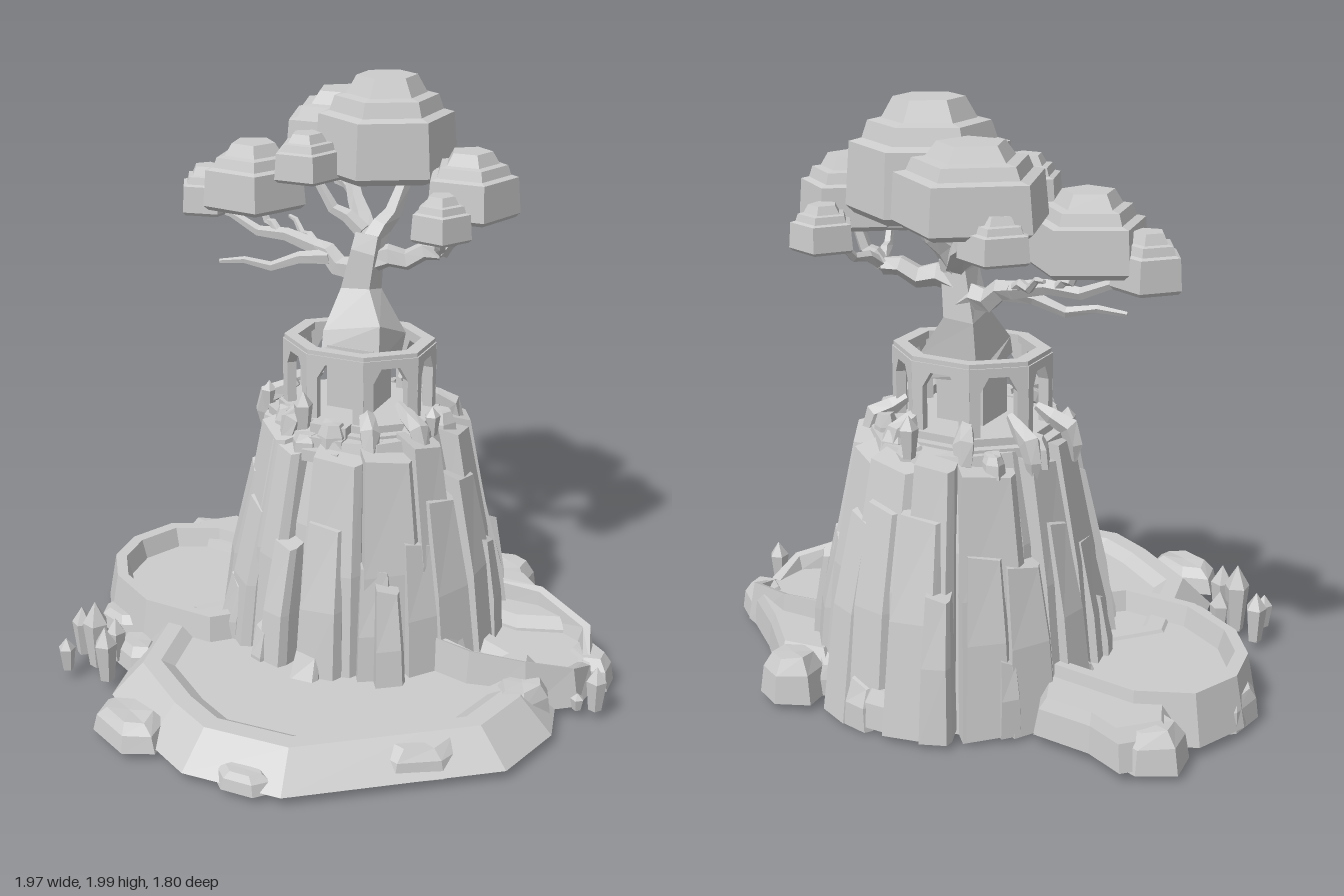
import * as THREE from 'three';

const material = new THREE.MeshStandardMaterial({ color: 0xcccccc, flatShading: true, side: THREE.DoubleSide });
const V = (x, y, z) => new THREE.Vector3(x, y, z);

// Skin a list of rings (counter-clockwise seen from the last one), optionally capping either end
function loft(rings, capFirst = true, capLast = true) {
  const pos = [], n = rings[0].length;
  const tri = (...p) => p.forEach(v => pos.push(v.x, v.y, v.z));
  const middle = r => r.reduce((s, p) => s.add(p), V(0, 0, 0)).divideScalar(n);
  const first = rings[0], last = rings[rings.length - 1], cf = middle(first), cl = middle(last);
  for (let i = 0; i < n; i++) {
    const j = (i + 1) % n;
    for (let k = 0; k + 1 < rings.length; k++) {
      const a = rings[k], b = rings[k + 1];
      tri(a[i], a[j], b[j]);
      tri(a[i], b[j], b[i]);
    }
    if (capFirst) tri(cf, first[j], first[i]);
    if (capLast) tri(cl, last[i], last[j]);
  }
  const g = new THREE.BufferGeometry();
  g.setAttribute('position', new THREE.Float32BufferAttribute(pos, 3));
  g.computeVertexNormals();
  return g;
}

// Horizontal polygon ring
function ring(x, y, z, rx, rz, n, rot = 0) {
  return Array.from({ length: n }, (_, i) => {
    const a = rot + i / n * Math.PI * 2;
    return V(x + rx * Math.cos(a), y, z - rz * Math.sin(a));
  });
}

// Tapering limb through centre points with a radius at each
function limb(c, radii, n = 5) {
  return loft(c.map((p, k) => {
    const dir = c[Math.min(k + 1, c.length - 1)].clone().sub(c[Math.max(k - 1, 0)]).normalize();
    const u = V(0, 0, 1).cross(dir).normalize(), v = dir.clone().cross(u);
    return Array.from({ length: n }, (_, i) => {
      const a = Math.PI / 4 + i / n * Math.PI * 2;
      return p.clone().addScaledVector(u, radii[k] * Math.cos(a)).addScaledVector(v, radii[k] * Math.sin(a));
    });
  }));
}

export function createModel() {
  const model = new THREE.Group();
  let seed = 7;
  const rand = (a, b) => {
    seed = (seed * 16807) % 2147483647;
    return a + (b - a) * seed / 2147483647;
  };
  const group = name => {
    const g = new THREE.Group();
    g.name = name;
    model.add(g);
    return g;
  };
  const add = (parent, name, geo) => {
    const m = new THREE.Mesh(geo, material);
    m.name = name;
    parent.add(m);
    return m;
  };

  // Terraced basins: outline shrunk towards a centre at each level [scale, height rule], open below
  const ground = group('ground');
  const basin = (name, outline, cx, cz, levels) => add(ground, name, loft(levels.map(([s, height]) =>
    outline.map(([px, pz]) => {
      const x = cx + (px - cx) * s, z = cz + (pz - cz) * s;
      return V(x, height(x, z), z);
    })), false));
  const flat = y => () => y;
  basin('frontBasin', [[.87, .2], [.8, -.1], [.4, -.3], [-.3, -.3], [-.66, .1], [-.56, .58], [-.3, .78],
    [-.12, .88], [.22, .87], [.62, .58], [.8, .45]], .05, .1,
  [[1, flat(.04)], [.86, flat(.15)], [.78, flat(.15)], [.72, flat(.12)]]);
  basin('rightBasin', [[-.2, -.2], [-.38, -.42], [-.7, -.46], [-.89, -.38], [-.97, -.2], [-.95, -.03], [-.85, .12],
    [-.64, .25], [-.35, .27], [-.22, .15]], -.52, -.08,
  [[1, flat(.04)], [.92, flat(.21)], [.82, flat(.21)], [.77, flat(.14)]]);
  // Saddle-shaped rim, higher towards the cliff
  const saddle = drop => (x, z) => Math.min(.24, .14 + .1 * Math.max((.8 - x) / .4, Math.abs(z + .15) / .22 - .3)) - drop;
  basin('leftBasin', [[.92, -.15], [.87, -.32], [.64, -.44], [.4, -.44], [.35, .1], [.55, .15], [.75, .11], [.9, 0]],
    .6, -.14, [[1, flat(.04)], [.92, saddle(0)], [.84, saddle(0)], [.79, flat(.12)]]);
  // Low slabs behind the side basins
  const slabLevels = [[1, flat(.04)], [.92, flat(.13)], [.8, flat(.17)]];
  basin('leftSlab', [[.84, -.33], [.68, -.46], [.5, -.64], [.32, -.62], [.35, -.3], [.6, -.25]], .52, -.45, slabLevels);
  basin('rightSlab', [[-.3, -.3], [-.4, -.55], [-.6, -.57], [-.73, -.63], [-.86, -.5], [-.8, -.35]], -.58, -.45, slabLevels);

  // Boulders around the shore [x, z, length, width, turn, top]
  const boulder = (parent, x, z, rx, rz, y0, y1, turn) => {
    const k = Array.from({ length: 6 }, () => rand(.85, 1.08));
    const level = (y, s) => ring(0, y, 0, rx * s, rz * s, 6).map((p, i) =>
      V(p.x * k[i], y + (y - y0) * (k[i] - 1) * .5, p.z * k[i]).applyAxisAngle(V(0, 1, 0), turn).add(V(x, 0, z)));
    add(parent, 'boulder', loft([level(y0, 1), level(y0 + (y1 - y0) * .65, .88), level(y1, .6)]));
  };
  [[-.39, .74, .18, .1, -.5, .12], [.08, .84, .11, .06, 0, .09], [.53, .52, .17, .11, .5, .13],
    [.74, .12, .13, .09, 1.1, .16], [.87, -.22, .11, .08, -.7, .13], [.43, -.66, .12, .11, .5, .18],
    [-.77, -.5, .13, .11, .6, .16], [-.92, -.16, .14, .06, 1.4, .14], [-.78, .14, .13, .07, -.4, .1],
    [-.6, .34, .12, .08, -.5, .12], [.05, -.68, .12, .08, 0, .16]]
    .forEach(([x, z, rx, rz, turn, top]) => boulder(ground, x, z, rx, rz, .03, top, turn));

  // Cliff: open-bottomed core ringed by three layers of leaning rock columns
  const cliff = group('cliff'), CX = .035, CZ = -.205;
  add(cliff, 'cliffCore', loft([ring(CX, .01, CZ, .44, .47, 12), ring(CX, .6, CZ, .37, .39, 12),
    ring(CX, .89, CZ, .3, .31, 12)], false));
  const column = (a, rBase, rTop, h, w, d) => {
    const c = Math.cos(a), s = Math.sin(a);
    const section = (y, r, k, tilt) => [[1, -1], [1, .75], [.5, 1], [-1, 1], [-1, -1]].map(([u, t]) => {
      const out = r + u * d * k, side = t * w * k;
      return V(CX + out * c - side * s, y - tilt * (u + t), CZ - 1.06 * (out * s + side * c));
    });
    add(cliff, 'rockColumn', loft([section(rand(.005, .03), rBase, 1, 0),
      section(h * .55, (rBase + rTop) / 2 + .01, .88, 0), section(h, rTop, .72, .012)], false));
  };
  const columns = (n, make) => {
    for (let i = 0; i < n; i++) make((i + rand(-.25, .25)) / n * Math.PI * 2);
  };
  columns(13, a => column(a, .41, .3, rand(.85, .89), rand(.08, .12), .07));
  columns(17, a => {
    const h = rand(.5, .76);
    column(a, rand(.43, .46), .455 - .15 * h, h, rand(.045, .09), .065);
  });
  columns(13, a => {
    const h = rand(.12, .5);
    column(a, rand(.46, .5), .475 - .1 * h, h, rand(.03, .06), .05);
  });
  // Rubble on the ledge below the tower
  columns(13, a => {
    const r = rand(.25, .3);
    boulder(cliff, .02 + r * Math.cos(a), CZ - r * Math.sin(a), rand(.04, .07), rand(.04, .07), .83, rand(.89, .95), a);
  });

  // Octagonal arcade, slightly flattened front to back
  const tower = group('tower');
  tower.position.set(.01, 0, -.195);
  tower.scale.z = .82;
  const oct = (r, y) => ring(0, y, 0, r / Math.cos(Math.PI / 8), r / Math.cos(Math.PI / 8), 8, Math.PI / 8);
  add(tower, 'plinth', loft([oct(.3, .86), oct(.3, .9), oct(.265, .9), oct(.265, .925)]));
  const points = list => list.map(p => new THREE.Vector2(...p));
  const wall = new THREE.Shape(points([[-.104, .9], [.104, .9], [.104, 1.15], [-.104, 1.15]]));
  wall.holes.push(new THREE.Path(points([[-.065, .925], [-.065, 1.07], [-.035, 1.12], [.035, 1.12], [.065, 1.07],
    [.065, .925]])));
  const panel = new THREE.ExtrudeGeometry(wall, { depth: .035, bevelEnabled: false }).translate(0, 0, .215);
  for (let i = 0; i < 8; i++) add(tower, 'archPanel', panel).rotation.y = i * Math.PI / 4;
  add(tower, 'rim', loft([oct(.2, 1.14), oct(.245, 1.14), oct(.245, 1.165), oct(.2, 1.165), oct(.2, 1.14)], false, false));
  add(tower, 'innerCore', new THREE.BoxGeometry(.17, .25, .2).translate(0, 1.02, 0));
  // Front steps
  for (let i = 0; i < 3; i++) {
    add(tower, 'step', new THREE.BoxGeometry(.13, .04, .06).translate(0, .91 - i * .035, .29 + i * .04));
  }
  // Roots draped over the plinth
  columns(8, t => {
    const a = t + Math.PI / 8;
    const path = [[.22, .98], [.27, .95], [.33, .92], [.35, .86], [.35, rand(.78, .84)]];
    add(tower, 'drapedRoot', limb(path.map(([r, y]) => V(r * Math.cos(a), y, -r * Math.sin(a))),
      [.015, .03, .038, .03, .008]));
  });

  // Tree trunk
  const tree = group('tree');
  add(tree, 'trunk', limb([V(.01, 1.1, -.215), V(.015, 1.17, -.23), V(-.03, 1.3, -.3), V(-.005, 1.44, -.295),
    V(0, 1.49, -.31)], [.15, .15, .075, .062, .058], 4));
  // Branches: sagging curves with a slight zigzag; sag lowers the middle
  const branch = (from, to, r0, r1, sag) => {
    const mid = from.clone().lerp(to, .55);
    mid.y -= sag;
    const path = new THREE.QuadraticBezierCurve3(from, mid, to).getPoints(4);
    path.forEach((p, i) => { if (i % 4) p.y += i % 2 ? .012 : -.012; });
    add(tree, 'branch', limb(path, path.map((_, i) => r0 + (r1 - r0) * i / 4)));
  };
  const fork = V(0, 1.45, -.3), rightFork = V(.23, 1.44, -.37), leftFork = V(-.22, 1.41, -.35);
  branch(V(0, 1.4, -.3), rightFork, .045, .03, 0);
  branch(rightFork, V(.33, 1.62, -.4), .03, .015, .06);
  branch(rightFork, V(.29, 1.57, -.59), .022, .01, .02);
  branch(rightFork, V(.29, 1.57, -.21), .022, .01, .02);
  branch(fork, V(.09, 1.7, -.46), .045, .018, .03);
  branch(fork, V(-.25, 1.69, -.65), .045, .015, .01);
  branch(V(-.14, 1.57, -.5), V(-.39, 1.63, -.76), .02, .01, .02);
  branch(V(-.03, 1.5, -.31), V(-.24, 1.7, -.31), .03, .012, .05);
  branch(V(-.02, 1.33, -.3), leftFork, .048, .03, 0);
  branch(leftFork, V(-.68, 1.5, -.4), .03, .01, .02);
  branch(V(-.38, 1.44, -.37), V(-.49, 1.55, -.42), .018, .01, .03);
  branch(V(-.16, 1.39, -.32), V(-.55, 1.35, -.24), .028, .008, .03);
  branch(leftFork, V(-.38, 1.48, -.46), .02, .007, 0);

  // Stepped foliage pads [x, z, radius, bottom, top, sides, turn]
  const tiers = [[.72, .04], [.9, 0], [1, .07], [.94, .62], [.79, .65], [.72, .8], [.56, .82], [.42, 1]];
  [[-.03, -.51, .25, 1.66, 2, 6, .5], [-.26, -.67, .24, 1.67, 1.91, 5, .31], [-.49, -.4, .19, 1.52, 1.75, 5, .17],
    [-.68, -.4, .11, 1.48, 1.65, 5, .5], [-.39, -.77, .11, 1.61, 1.74, 5, .5], [.32, -.4, .17, 1.57, 1.79, 5, .31],
    [.29, -.6, .105, 1.53, 1.67, 5, .6], [.29, -.21, .105, 1.53, 1.68, 5, .1], [-.24, -.31, .125, 1.66, 1.82, 5, .3]]
    .forEach(([x, z, r, y0, y1, n, rot]) => add(tree, 'foliage',
      loft(tiers.map(([s, t]) => ring(x, y0 + (y1 - y0) * t, z, r * s, r * s, n, rot)))));

  // Crystals on the shore and the ledge [x, z, bottom, top]
  const crystals = group('crystals');
  [[-.71, .43, .04, .285], [-.8, .38, .04, .22], [-.79, .5, .04, .16], [-.63, .5, .04, .24], [-.67, .37, .04, .2],
    [.955, -.01, .04, .2], [.9, .015, .04, .1], [-.09, .045, .88, 1.03], [.31, -.12, .88, .98],
    [-.3, -.12, .88, .98], [.05, -.53, .88, 1.02]]
    .forEach(([x, z, y0, y1], i) => {
      const h = y1 - y0, r = .016 + .12 * h;
      add(crystals, 'crystal', loft([[.65, 0], [1, .68], [.02, 1]].map(([s, t]) =>
        ring(x, y0 + h * t, z, r * s, r * s, 5, i))));
    });

  return model;
}
